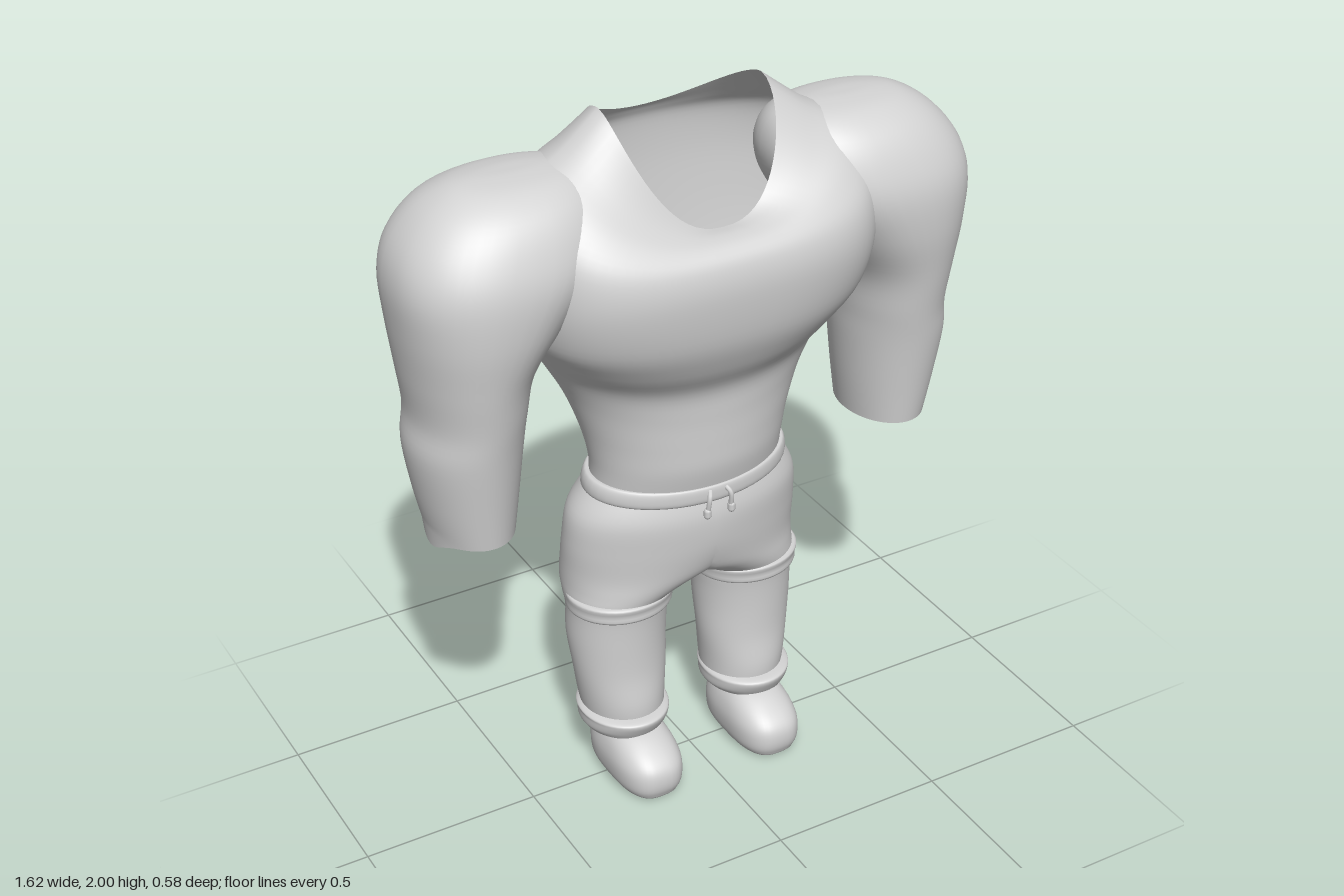
import * as THREE from 'three';

const cloth = new THREE.MeshStandardMaterial({ color: 0xd2d2d2, side: THREE.DoubleSide });
cloth.name = 'light grey cloth';

// Smooth loft through horizontal rings listed from bottom to top.
// Ring: [xMin, xMax, zBack, zFront, ySide, yFront, yBack, squareness, back squareness]
function loft(rings, { seg = 48, sub = 5, half = false, tip = 0 } = {}) {
  const full = rings.map(([a, b, c, d, y, f = y, k = y, n = 2, m = n]) => [a, b, c, d, y, f, k, n, m]);
  const spline = (t) => {
    const i = Math.min(Math.floor(t), full.length - 2), u = t - i;
    const at = (k) => full[Math.max(0, Math.min(full.length - 1, k))];
    return full[i].map((p1, k) => {
      const p0 = at(i - 1)[k], p2 = at(i + 1)[k], p3 = at(i + 2)[k];
      return p1 + 0.5 * u * (p2 - p0 + u * (2 * p0 - 5 * p1 + 4 * p2 - p3 + u * (3 * (p1 - p2) + p3 - p0)));
    });
  };
  const pos = [], index = [], rows = (full.length - 1) * sub;
  const pow = (v, e) => Math.sign(v) * Math.abs(v) ** e;
  for (let i = 0; i <= rows; i++) {
    const [x0, x1, zb, zf, y, yF, yB, nF, nB] = spline(i / sub);
    for (let j = 0; j < seg; j++) {
      const a = (j / seg) * Math.PI * 2, c = Math.cos(a), s = Math.sin(a);
      const n = s > 0 ? nF : nB;
      let x = (x0 + x1) / 2 + ((x1 - x0) / 2) * pow(c, 2 / n);
      if (half && x < 0.0005) x = 0;
      const z = (zb + zf) / 2 + ((zf - zb) / 2) * pow(s, 2 / n);
      let h = y + ((s > 0 ? yF : yB) - y) * Math.abs(s) ** 1.5;
      if (i === 0) h -= tip * Math.max(0, c) ** 10;
      pos.push(x, h, z);
    }
  }
  const onSeam = (k) => half && pos[k * 3] === 0;
  const tri = (a, b, c) => { if (!(onSeam(a) && onSeam(b) && onSeam(c))) index.push(a, b, c); };
  for (let i = 0; i < rows; i++) {
    for (let j = 0; j < seg; j++) {
      const a = i * seg + j, b = i * seg + ((j + 1) % seg);
      tri(a, a + seg, b);
      tri(b, a + seg, b + seg);
    }
  }
  const geo = new THREE.BufferGeometry();
  geo.setAttribute('position', new THREE.Float32BufferAttribute(pos, 3));
  geo.setIndex(index);
  geo.computeVertexNormals();
  // Keep shading continuous across the centre seam
  if (half) {
    const nor = geo.attributes.normal;
    for (let k = 0; k < nor.count; k++) if (onSeam(k)) nor.setX(k, 0);
    geo.normalizeNormals();
  }
  return geo;
}

const sym = (x, ...rest) => [-x, x, ...rest];

export function createModel() {
  const model = new THREE.Group();
  model.name = 'outfit';
  const add = (name, geo, parent = model) => {
    const mesh = new THREE.Mesh(geo, cloth);
    mesh.name = name;
    parent.add(mesh);
    return mesh;
  };
  const pair = (name, geo) => {
    add(name + 'Left', geo);
    add(name + 'Right', geo).scale.x = -1;
  };

  // Shirt body: narrow waist, broad chest, ridged back, open scooped neck
  add('shirtBody', loft([
    sym(0.275, -0.20, 0.15, 0.95),
    sym(0.278, -0.20, 0.165, 1.02),
    sym(0.30, -0.215, 0.168, 1.12, 1.09, 1.12),
    sym(0.345, -0.235, 0.17, 1.24, 1.18, 1.24),
    sym(0.40, -0.25, 0.18, 1.34, 1.265, 1.34, 2.1, 2),
    sym(0.44, -0.26, 0.23, 1.41, 1.35, 1.41, 2.3, 2),
    sym(0.475, -0.27, 0.272, 1.48, 1.45, 1.48, 2.6, 2),
    sym(0.49, -0.28, 0.29, 1.60, 1.58, 1.60, 2.9, 2),
    sym(0.48, -0.285, 0.28, 1.75, 1.66, 1.72, 2.9, 2),
    sym(0.43, -0.28, 0.25, 1.86, 1.70, 1.82, 2.6, 2),
    sym(0.33, -0.265, 0.21, 1.925, 1.715, 1.86, 2.5, 2),
    sym(0.23, -0.25, 0.17, 2.0, 1.715, 1.88, 2.4, 2),
  ], { seg: 72 }));

  // Sleeves: open at the forearm, broad shoulders running into the chest and back
  pair('sleeve', loft([
    [0.52, 0.74, -0.19, 0.115, 0.945],
    [0.505, 0.765, -0.205, 0.13, 1.06],
    [0.49, 0.785, -0.22, 0.15, 1.2],
    [0.48, 0.775, -0.225, 0.165, 1.3],
    [0.455, 0.79, -0.235, 0.185, 1.42],
    [0.37, 0.805, -0.25, 0.207, 1.55, 1.55, 1.55, 2.2],
    [0.28, 0.81, -0.26, 0.21, 1.67, 1.67, 1.67, 2.4],
    [0.25, 0.785, -0.25, 0.185, 1.76, 1.76, 1.76, 2.4],
    [0.26, 0.725, -0.215, 0.14, 1.835, 1.835, 1.835, 2.3],
    [0.30, 0.65, -0.15, 0.075, 1.882, 1.882, 1.882, 2.2],
    [0.37, 0.58, -0.085, 0.005, 1.898],
    [0.47, 0.47, -0.04, -0.04, 1.9],
  ], { tip: 0.035 }));

  // Trousers: each half runs from the ankle into the hip and meets at the centre
  pair('trouserHalf', loft([
    [0.08, 0.30, -0.16, 0.08, 0.17],
    [0.075, 0.315, -0.175, 0.085, 0.25],
    [0.065, 0.33, -0.17, 0.075, 0.35],
    [0.06, 0.34, -0.19, 0.075, 0.45],
    [0.055, 0.34, -0.19, 0.08, 0.54],
    [0.04, 0.345, -0.21, 0.09, 0.59],
    [-0.05, 0.345, -0.245, 0.105, 0.63],
    [-0.22, 0.345, -0.26, 0.125, 0.685],
    sym(0.345, -0.255, 0.145, 0.77),
    sym(0.335, -0.24, 0.15, 0.86),
    sym(0.295, -0.21, 0.135, 0.93),
  ], { seg: 80, half: true }));

  // Gathered waistband
  add('waistband', loft([
    sym(0.285, -0.20, 0.135, 0.92, 0.905, 0.92),
    sym(0.296, -0.212, 0.156, 0.93, 0.915, 0.93),
    sym(0.296, -0.212, 0.160, 0.955, 0.94, 0.955),
    sym(0.287, -0.205, 0.157, 0.975, 0.96, 0.975),
    sym(0.27, -0.195, 0.145, 0.975, 0.96, 0.975),
  ]));

  // Shallow bands across the fronts of the thighs
  pair('kneeBand', loft([
    [0.06, 0.335, -0.17, 0.07, 0.552],
    [0.05, 0.346, -0.175, 0.093, 0.555],
    [0.046, 0.347, -0.175, 0.094, 0.577],
    [0.044, 0.349, -0.175, 0.099, 0.6],
    [0.06, 0.335, -0.17, 0.075, 0.604],
  ], { sub: 3 }));

  // Flared ankle cuffs, open below
  pair('cuff', loft([
    [0.085, 0.31, -0.162, 0.09, 0.16],
    [0.074, 0.319, -0.17, 0.102, 0.175, 0.182, 0.165],
    [0.072, 0.321, -0.175, 0.112, 0.2, 0.205, 0.19],
    [0.072, 0.322, -0.178, 0.108, 0.212, 0.216, 0.203],
    [0.085, 0.305, -0.165, 0.08, 0.222],
  ]));

  // Rounded shoes with flat soles
  pair('shoe', loft([
    [0.19, 0.19, 0.03, 0.03, 0.004],
    [0.125, 0.255, -0.105, 0.165, 0.005, 0.005, 0.005, 2.8],
    [0.10, 0.28, -0.13, 0.192, 0.025, 0.025, 0.025, 2.8],
    [0.092, 0.288, -0.137, 0.2, 0.065, 0.065, 0.065, 2.7],
    [0.094, 0.286, -0.135, 0.19, 0.105, 0.105, 0.105, 2.6],
    [0.108, 0.272, -0.125, 0.15, 0.145, 0.14, 0.145, 2.4],
    [0.135, 0.245, -0.10, 0.085, 0.175, 0.17, 0.175],
    [0.19, 0.19, -0.01, -0.01, 0.18],
  ]));

  // Drawstrings with rounded tips
  for (const x of [-0.033, 0.03]) {
    const cord = new THREE.Group();
    cord.name = 'drawstring';
    const side = Math.sign(x);
    const path = new THREE.CatmullRomCurve3([
      new THREE.Vector3(x - side * 0.008, 0.95, 0.155),
      new THREE.Vector3(x, 0.935, 0.168),
      new THREE.Vector3(x + side * 0.004, 0.89, 0.164),
    ]);
    add('cord', new THREE.TubeGeometry(path, 12, 0.007, 8), cord);
    add('cordTip', new THREE.CapsuleGeometry(0.0105, 0.012, 4, 10), cord)
      .position.set(x + side * 0.005, 0.887, 0.164);
    model.add(cord);
  }

  return model;
}
